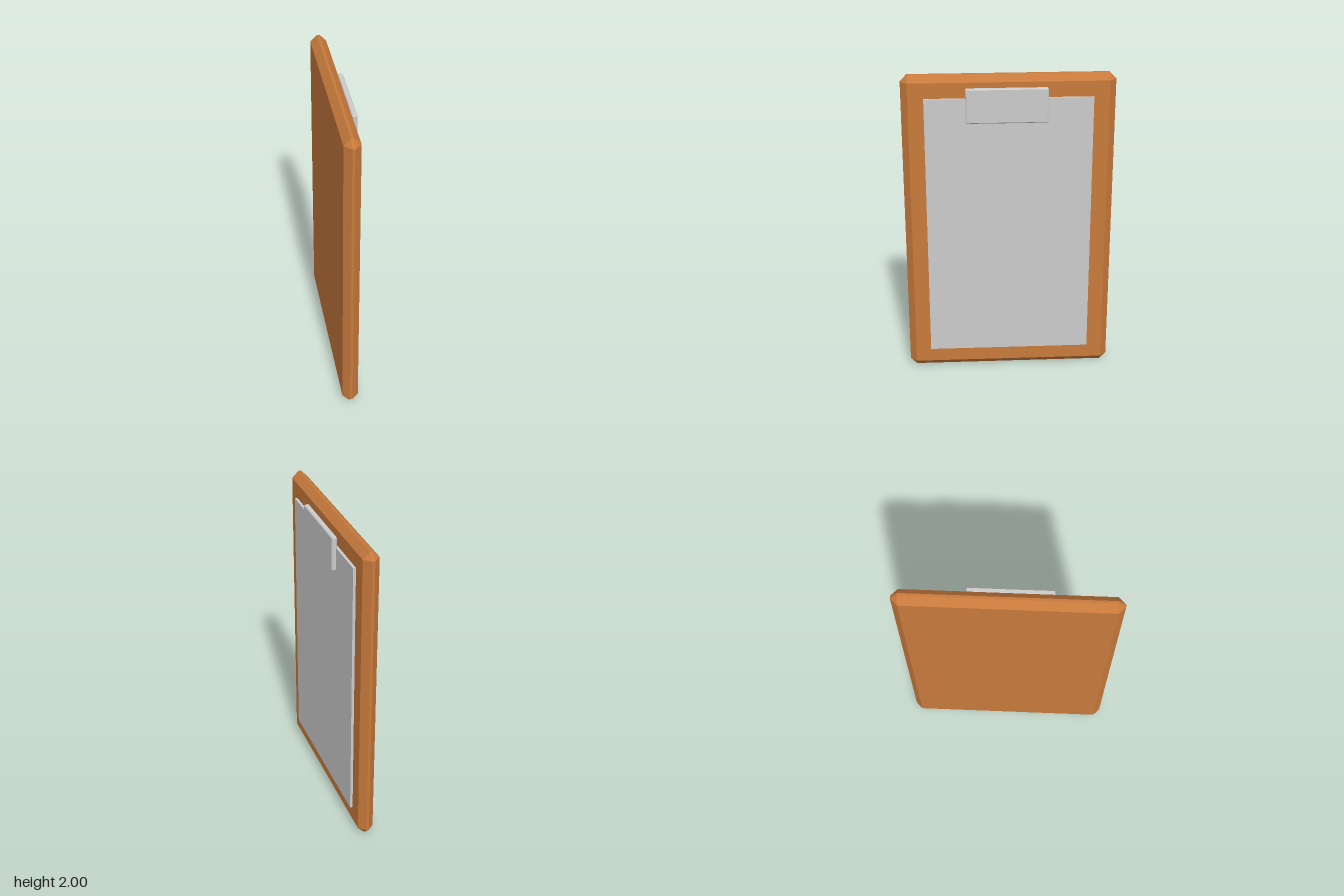
import * as THREE from 'three';
import { ConvexGeometry } from 'three/addons/geometries/ConvexGeometry.js';

// Box with every edge chamfered; each bevel value is the inset along that axis
function chamferedBox(w, h, d, bx, by, bz) {
  const points = [];
  for (const sx of [-1, 1]) for (const sy of [-1, 1]) for (const sz of [-1, 1]) {
    const x = w / 2, y = h / 2, z = d / 2;
    points.push(
      new THREE.Vector3(sx * x, sy * (y - by), sz * (z - bz)),
      new THREE.Vector3(sx * (x - bx), sy * y, sz * (z - bz)),
      new THREE.Vector3(sx * (x - bx), sy * (y - by), sz * z));
  }
  return new ConvexGeometry(points);
}

export function createModel() {
  const group = new THREE.Group();
  const wood = new THREE.MeshStandardMaterial({ color: 0xc87a3c, flatShading: true });
  const grey = new THREE.MeshStandardMaterial({ color: 0xcccccc, flatShading: true });

  const add = (name, geometry, material, x, y, z) => {
    const mesh = new THREE.Mesh(geometry, material);
    mesh.name = name;
    mesh.position.set(x, y, z);
    group.add(mesh);
  };

  // Wooden backing board with wide chamfers
  add('board', chamferedBox(0.101, 2, 1.316, 0.0425, 0.043, 0.042), wood, -0.0225, 1, 0);
  // Sheet lying on the +x face
  add('paper', new THREE.BoxGeometry(0.02, 1.72, 1.037), grey, 0.035, 1, 0);
  // Clip holding the top of the sheet
  add('clip', chamferedBox(0.033, 0.217, 0.504, 0.006, 0.006, 0.006), grey, 0.0535, 1.818, 0.013);

  return group;
}
